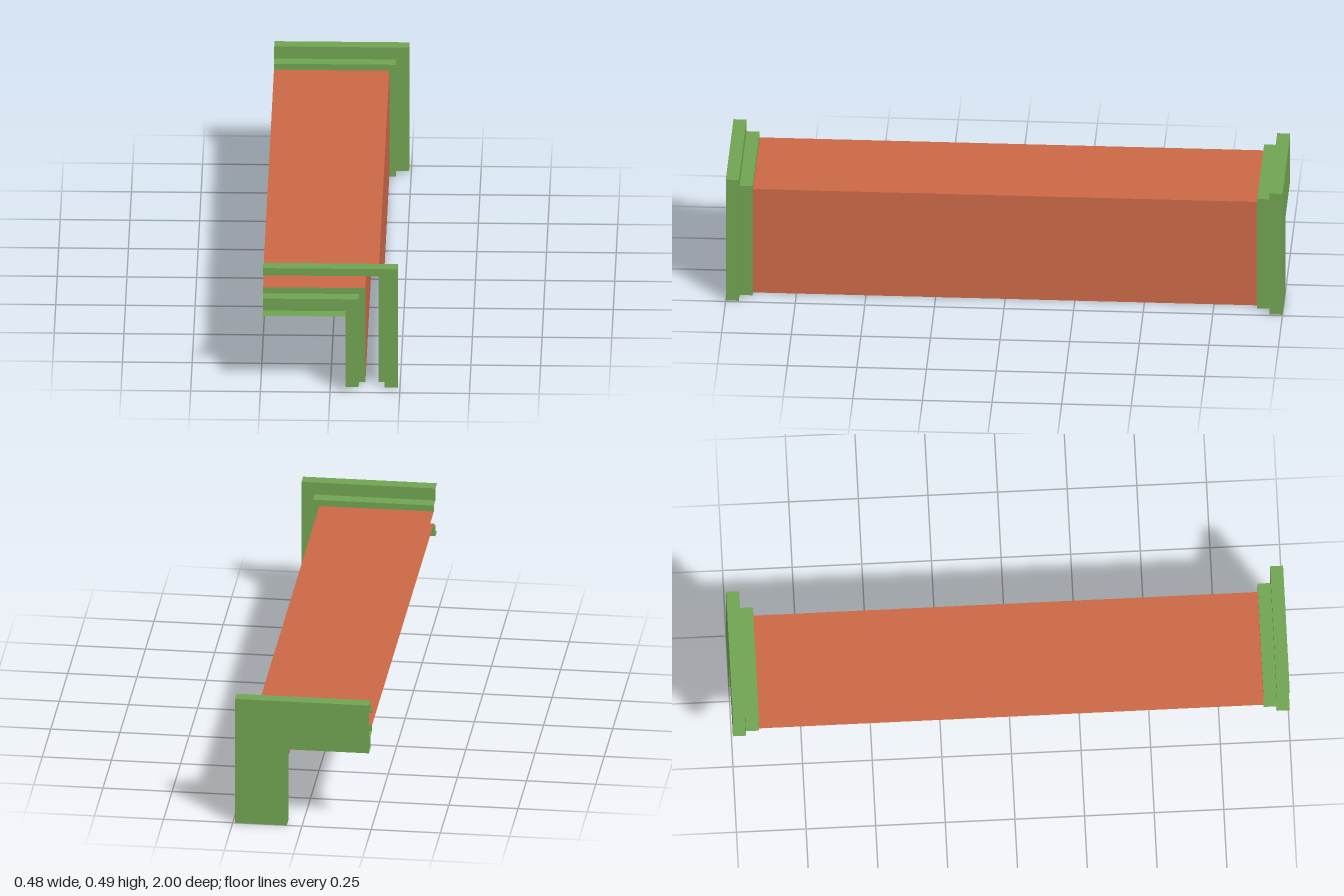
import * as THREE from 'three';

const W = 0.242, H = 0.485;   // outer corner of the L-shaped section
const T = 0.0468;             // step size; the flange is 4 steps thick
const Z1 = 0.953, Z2 = 0.906; // z of the two flange steps

const green = new THREE.MeshStandardMaterial({ color: 0x70a352, side: THREE.DoubleSide });
green.name = 'flangeGreen';
const orange = new THREE.MeshStandardMaterial({ color: 0xcb6846, side: THREE.DoubleSide });
orange.name = 'ductOrange';

// Sweeps a profile of [inset, z] points along the L: across the top, then down the side.
function sweep(profile) {
  const pos = [];
  const path = ([d, z]) => [[-W, H - d, z], [W - d, H - d, z], [W - d, 0, z]];
  for (let k = 0; k < profile.length - 1; k++) {
    const a = path(profile[k]), b = path(profile[k + 1]);
    for (let i = 0; i < 2; i++) {
      pos.push(...a[i], ...a[i + 1], ...b[i + 1], ...a[i], ...b[i + 1], ...b[i]);
    }
  }
  const geo = new THREE.BufferGeometry();
  geo.setAttribute('position', new THREE.Float32BufferAttribute(pos, 3));
  geo.computeVertexNormals();
  return geo;
}

export function createModel() {
  const model = new THREE.Group();
  model.name = 'flangedChannel';
  const add = (name, profile, material) => {
    const mesh = new THREE.Mesh(sweep(profile), material);
    mesh.name = name;
    model.add(mesh);
  };
  // The inner skin mirrors the outer one across the wall thickness, with reversed winding.
  const inner = (profile) => profile.map(([d, z]) => [4 * T - d, z]).reverse();

  // Two-step flanges at both ends
  const front = [[0, 1], [0, Z1], [T, Z1], [T, Z2], [1.5 * T, Z2]];
  const back = front.map(([d, z]) => [d, -z]).reverse();
  add('frontFlangeOuter', front, green);
  add('frontFlangeInner', inner(front), green);
  add('backFlangeOuter', back, green);
  add('backFlangeInner', inner(back), green);

  // Closed back end; the front and both ends of the L stay open
  add('backCap', [[0, -1], [4 * T, -1]], green);

  // Long double-skinned wall
  const wall = [[1.5 * T, Z2], [1.5 * T, -Z2]];
  add('outerWall', wall, orange);
  add('innerWall', inner(wall), orange);

  return model;
}
